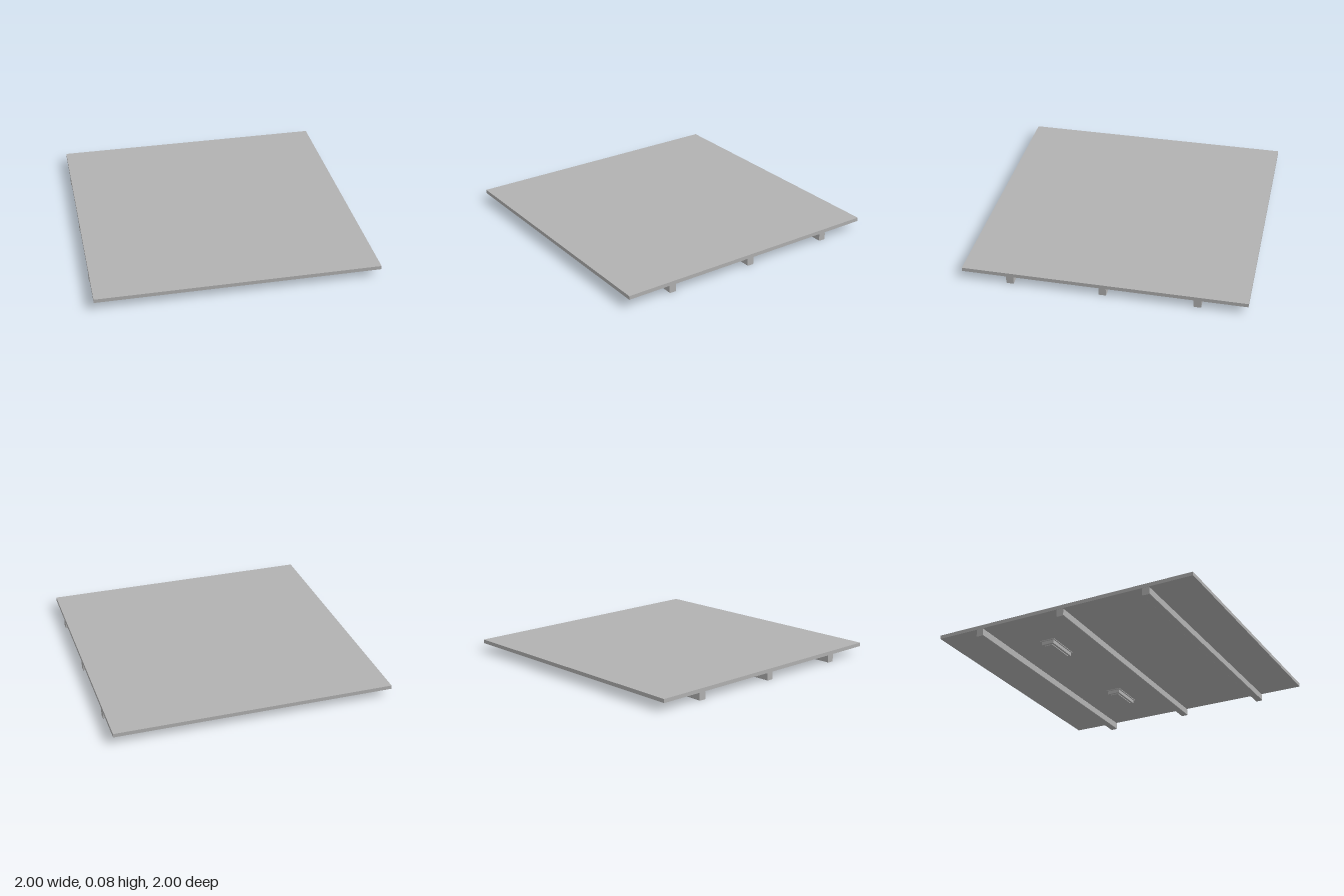
import * as THREE from 'three';

const grey = new THREE.MeshStandardMaterial({ color: 0xb2b2b2 });
grey.name = 'plain grey';

function box(name, w, h, d, x, bottom, z) {
  const mesh = new THREE.Mesh(new THREE.BoxGeometry(w, h, d), grey);
  mesh.name = name;
  mesh.position.set(x, bottom + h / 2, z);
  return mesh;
}

// Square bar along x with slightly chamfered long edges
function beamGeometry(length, width, height, c) {
  const a = width / 2, b = height / 2;
  const section = new THREE.Shape([
    [-a + c, -b], [a - c, -b], [a, -b + c], [a, b - c],
    [a - c, b], [-a + c, b], [-a, b - c], [-a, -b + c],
  ].map(([x, y]) => new THREE.Vector2(x, y)));
  return new THREE.ExtrudeGeometry(section, { depth: length, bevelEnabled: false })
    .translate(0, 0, -length / 2)
    .rotateY(Math.PI / 2);
}

// Lamp housing hanging under the panel
function createLamp(x) {
  const lamp = new THREE.Group();
  lamp.name = 'lamp';
  lamp.add(
    box('lampFlange', 0.27, 0.005, 0.115, 0, 0.051, 0),
    box('lampHousing', 0.25, 0.026, 0.096, 0, 0.025, 0),
    box('lampLens', 0.218, 0.006, 0.064, 0, 0.019, 0),
  );
  lamp.position.set(x, 0, -0.326);
  return lamp;
}

export function createModel() {
  const model = new THREE.Group();
  model.name = 'ceilingPanel';

  // Flat square panel
  model.add(box('panel', 2, 0.027, 2, 0, 0.056, 0));

  // Three support beams underneath
  const beam = beamGeometry(1.998, 0.053, 0.056, 0.004);
  for (const z of [-0.656, 0, 0.656]) {
    const mesh = new THREE.Mesh(beam, grey);
    mesh.name = 'supportBeam';
    mesh.position.set(0, 0.028, z);
    model.add(mesh);
  }

  // Pair of lamps between the middle and rear beams
  for (const x of [-0.5, 0.5]) model.add(createLamp(x));

  return model;
}
